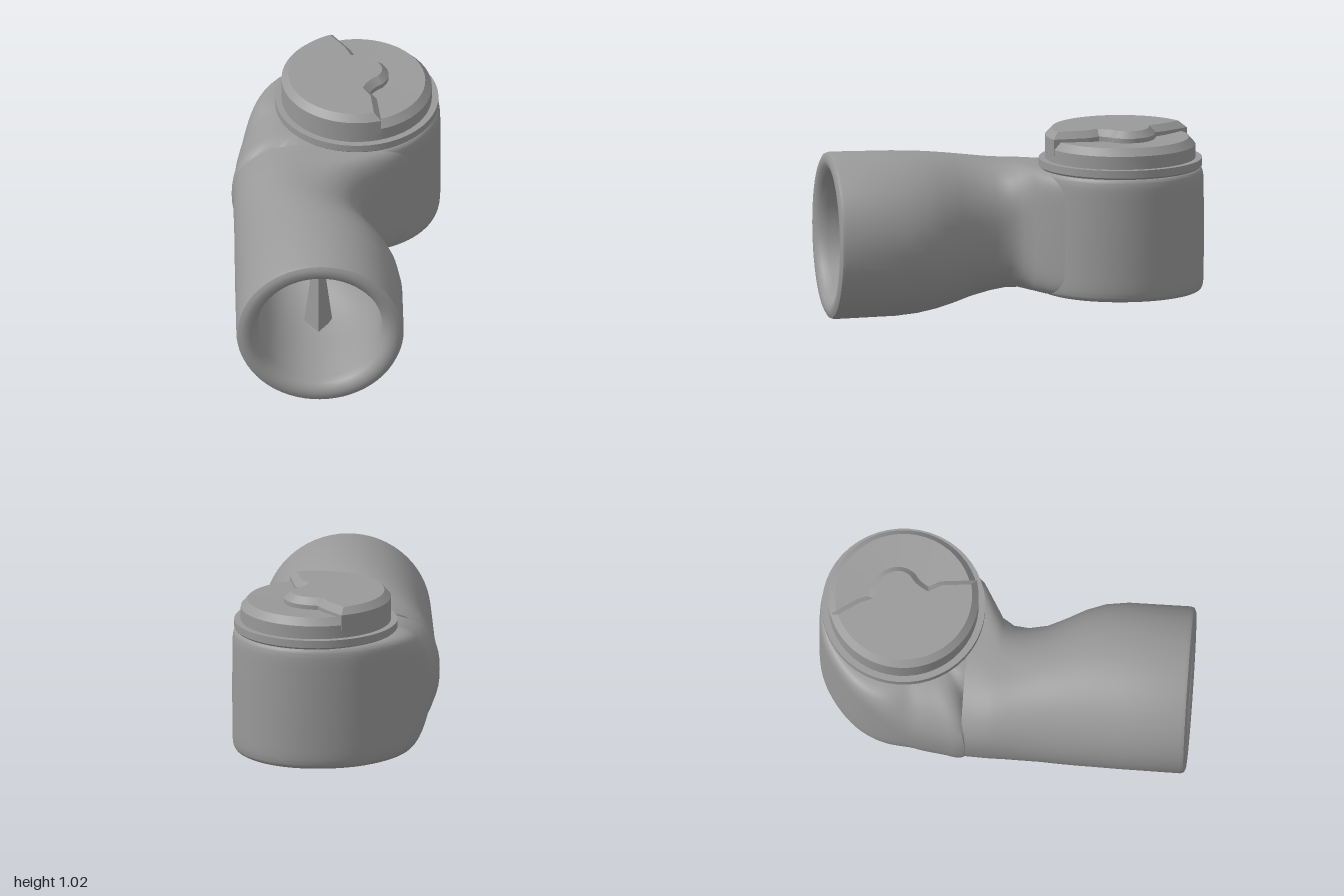
import * as THREE from 'three';
import { toCreasedNormals } from 'three/addons/utils/BufferGeometryUtils.js';

const AXIS = new THREE.Vector3(0.11, 0, -0.55); // vertical axis of the housing
const PORT = 0.32; // radius of the lower opening

// Surface through a grid of points: u runs along a row, v from row to row
function grid(nu, nv, point) {
  const pos = [], index = [];
  for (let v = 0; v <= nv; v++) {
    for (let u = 0; u <= nu; u++) {
      pos.push(...point(u / nu, v));
      if (u < nu && v < nv) {
        const a = v * (nu + 1) + u, b = a + nu + 1;
        index.push(a, a + 1, b + 1, a, b + 1, b);
      }
    }
  }
  const g = new THREE.BufferGeometry();
  g.setAttribute('position', new THREE.Float32BufferAttribute(pos, 3));
  g.setIndex(index);
  return toCreasedNormals(g, 0.65);
}

const power = (v, n) => Math.sign(v) * Math.pow(Math.abs(v), 2 / n);

// Inlet pipe: outside from the housing to the mouth, round the lip, back along the bore
function pipeGeometry() {
  // z, left x, right x, bottom, top, roundness of each side
  const outer = [
    [-0.2, -0.553, 0.385, 0.15, 0.82, 2.4, 8],
    [-0.13, -0.554, 0.32, 0.15, 0.82, 2.4, 7],
    [-0.07, -0.554, 0.23, 0.15, 0.82, 2.4, 5],
    [-0.02, -0.554, 0.16, 0.148, 0.82, 2.3, 3.5],
    [0.04, -0.553, 0.133, 0.138, 0.822, 2.2, 2.8],
    [0.12, -0.553, 0.135, 0.118, 0.83, 2.1, 2.4],
    [0.22, -0.553, 0.165, 0.09, 0.846, 2, 2.1],
    [0.32, -0.554, 0.22, 0.06, 0.862, 2, 2],
    [0.42, -0.555, 0.277, 0.038, 0.876, 2, 2],
    [0.52, -0.555, 0.315, 0.022, 0.887, 2, 2],
    [0.64, -0.556, 0.333, 0.012, 0.893, 2, 2],
    [0.97, -0.556, 0.335, 0.005, 0.897, 2, 2],
  ];
  const inset = (row, d, z = row[0]) =>
    [z, row[1] + d, row[2] - d, row[3] + d, row[4] - d, row[5], row[6]];
  const mouth = outer[outer.length - 1];
  const lip = [[0.006, 0.988], [0.025, 0.998], [0.05, 1], [0.075, 0.992], [0.097, 0.97], [0.112, 0.93]]
    .map(([d, z]) => inset(mouth, d, z));
  const bore = outer.slice(4, -1).reverse().map((r) => inset(r, 0.112));
  const end = [[0.15, -0.01], [0.2, -0.05], [0.27, -0.08], [0.338, -0.09]]
    .map(([d, z]) => inset(outer[4], d, z));
  const rows = [...outer, ...lip, ...bore, ...end];
  return grid(64, rows.length - 1, (u, v) => {
    const [z, l, r, b, t, nl, nr] = rows[v];
    const a = u * Math.PI * 2, c = Math.cos(a);
    const n = c < 0 ? nl : nr;
    return [
      (l + r) / 2 + ((r - l) / 2) * power(c, n),
      (b + t) / 2 + ((t - b) / 2) * power(Math.sin(a), n),
      z,
    ];
  });
}

// Housing: straight cylinder wall on the right, swelling into the elbow on the left
function housingGeometry() {
  const outline = [];
  for (let i = 0; i <= 8; i++) {
    const a = -Math.PI / 2 + (i / 8) * Math.PI;
    outline.push(new THREE.Vector3(AXIS.x + 0.445 * Math.cos(a), 0, AXIS.z - 0.445 * Math.sin(a)));
  }
  for (const [x, z] of [[-0.08, -0.97], [-0.24, -0.885], [-0.38, -0.755], [-0.47, -0.6],
    [-0.52, -0.45], [-0.546, -0.3], [-0.552, -0.17], [-0.35, -0.15], [-0.1, -0.14]]) {
    outline.push(new THREE.Vector3(x, 0, z));
  }
  const curve = new THREE.CatmullRomCurve3(outline, true, 'centripetal');
  const steps = 96, h = 0.335;
  const wall = curve.getSpacedPoints(steps).map((p) => {
    const dir = p.clone().sub(AXIS), d = dir.length();
    const round = THREE.MathUtils.smoothstep(d, 0.445, 0.64);
    return { dir: dir.normalize(), d, n: THREE.MathUtils.lerp(10, 2.4, round) };
  });
  const g = grid(28, steps, (u, v) => {
    const { dir, d, n } = wall[v];
    const a = (0.5 - u) * Math.PI;
    const r = PORT + (d - PORT) * power(Math.max(0, Math.cos(a)), n);
    return [AXIS.x + dir.x * r, 0.15 + h + h * power(Math.sin(a), n), AXIS.z + dir.z * r];
  });
  return g;
}

// Turned part standing on the housing axis
function turned(points) {
  const g = new THREE.LatheGeometry(points.map(([r, y]) => new THREE.Vector2(r, y)), 48);
  return toCreasedNormals(g, 0.5).translate(AXIS.x, 0, AXIS.z);
}

// Raised portion of the cap: left-hand arc closed by a stepped edge
function raisedCapGeometry() {
  const s = new THREE.Shape();
  const R = 0.365, start = 1.95, stop = 4.95;
  s.absarc(0, 0, R, start, stop, false);
  s.lineTo(0.07, -0.2);
  s.lineTo(0.03, -0.13);
  s.quadraticCurveTo(0.06, -0.06, 0.11, -0.03);
  s.quadraticCurveTo(0.16, 0.03, 0.11, 0.1);
  s.quadraticCurveTo(0.06, 0.15, -0.03, 0.16);
  s.lineTo(-0.06, 0.23);
  s.closePath();
  const g = new THREE.ExtrudeGeometry(s, {
    depth: 0.085, bevelThickness: 0.035, bevelSize: 0.035, bevelSegments: 1, curveSegments: 28,
  });
  return toCreasedNormals(g.rotateX(-Math.PI / 2), 0.4).translate(AXIS.x, 0.905, AXIS.z);
}

export function createModel() {
  const model = new THREE.Group();
  const grey = new THREE.MeshStandardMaterial({ color: 0x999999, side: THREE.DoubleSide });
  grey.name = 'plain grey';
  const add = (name, geometry) => {
    const mesh = new THREE.Mesh(geometry, grey);
    mesh.name = name;
    model.add(mesh);
    return mesh;
  };

  add('inletPipe', pipeGeometry());
  add('elbowHousing', housingGeometry());
  add('lowerPort', turned([[0, 0.72], [0.2, 0.69], [0.29, 0.58], [PORT, 0.4], [PORT, 0.15]]));

  // Cap with its flange
  add('capFlange', turned([[0.425, 0.815], [0.435, 0.825], [0.435, 0.865], [0.39, 0.865]]));
  add('capBase', turned([[0.4, 0.86], [0.4, 0.935], [0.365, 0.975], [0.15, 0.965], [0, 0.96]]));
  add('raisedCap', raisedCapGeometry());

  // Slim three-sided splitter standing in the bore
  const fin = new THREE.ConeGeometry(1, 0.645, 3).toNonIndexed();
  fin.computeVertexNormals();
  const splitter = add('splitter', fin);
  splitter.scale.set(0.087, 1, 0.07);
  splitter.position.set(-0.112, 0.4675, 0.5);

  return model;
}
